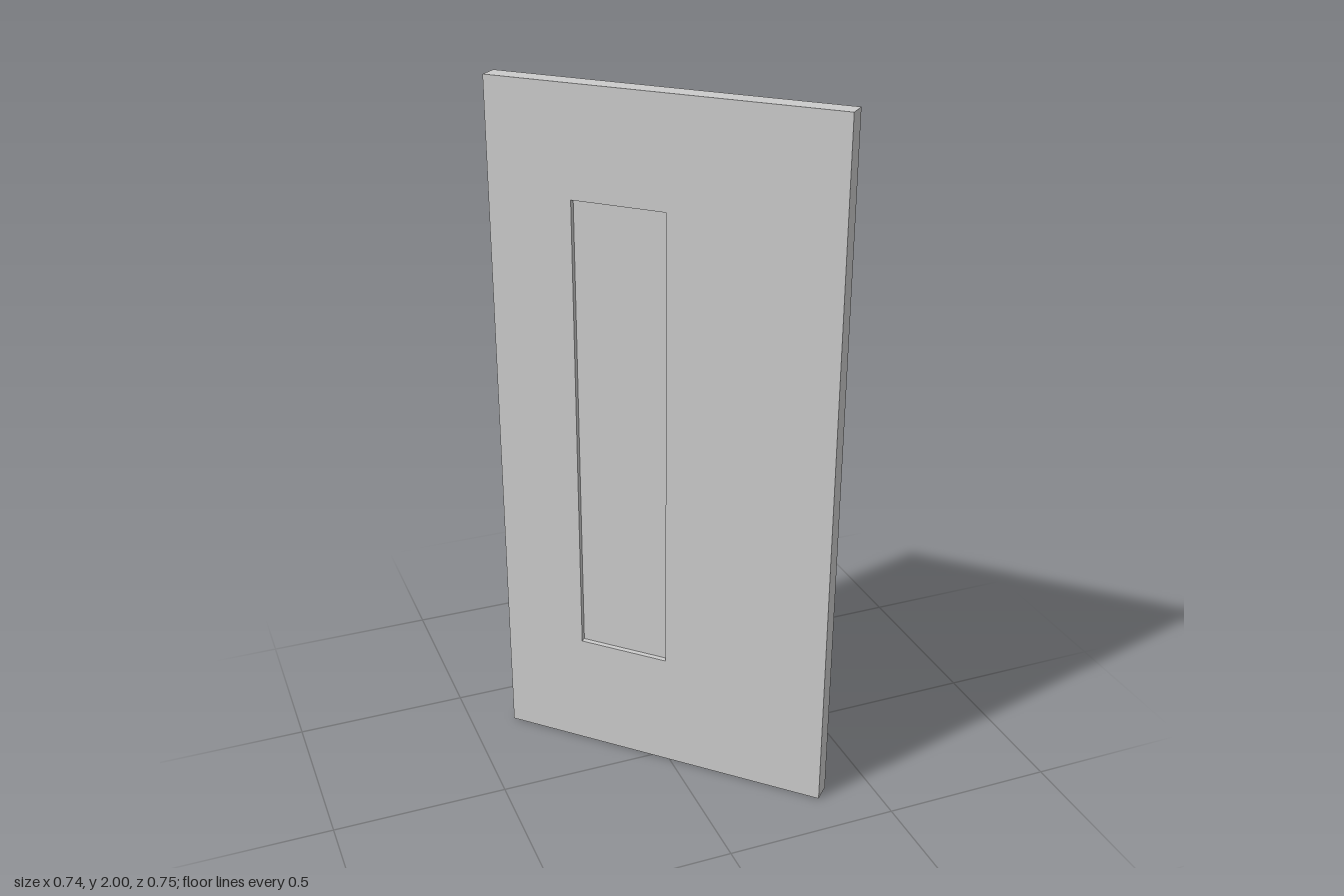
import * as THREE from 'three';

export function createModel() {
  const doorGrey = new THREE.MeshStandardMaterial({ color: 0xcccccc });
  doorGrey.name = 'doorGrey';
  const metal = new THREE.MeshStandardMaterial({ color: 0xdde1de, flatShading: true });
  metal.name = 'paleMetal';

  const model = new THREE.Group();
  model.name = 'door';
  const T = 0.057; // door thickness

  const add = (name, geometry, material, x = 0, y = 0, z = 0) => {
    const mesh = new THREE.Mesh(geometry, material);
    mesh.name = name;
    mesh.position.set(x, y, z);
    model.add(mesh);
    return mesh;
  };

  // Slab with a tall opening, filled by a thinner panel
  const [x0, x1, y0, y1] = [-0.254, 0.016, 0.345, 1.695];
  const slab = new THREE.Shape([[-0.498, 0], [0.498, 0], [0.498, 2], [-0.498, 2]]
    .map(p => new THREE.Vector2(...p)));
  slab.holes.push(new THREE.Path([[x0, y0], [x0, y1], [x1, y1], [x1, y0]]
    .map(p => new THREE.Vector2(...p))));
  add('doorSlab', new THREE.ExtrudeGeometry(slab, { depth: T, bevelEnabled: false }),
    doorGrey, 0, 0, -T / 2);
  add('recessedPanel', new THREE.BoxGeometry(x1 - x0, y1 - y0, T - 0.03),
    doorGrey, (x0 + x1) / 2, (y0 + y1) / 2, 0);

  // Pull handle: bracket profile (distance outward, height), extruded across its width
  const pull = new THREE.Shape([
    [0.028, 1.118], [0.074, 1.118], [0.097, 1.092], [0.097, 1.017], [0.074, 0.991],
    [0.028, 0.991], [0.028, 1.01], [0.065, 1.01], [0.081, 1.026], [0.081, 1.083],
    [0.065, 1.099], [0.028, 1.099],
  ].map(p => new THREE.Vector2(...p)));
  const pullGeometry = new THREE.ExtrudeGeometry(pull, { depth: 0.026, bevelEnabled: false });
  pullGeometry.translate(0, 0, -0.013).rotateY(Math.PI / 2); // outward becomes -z
  add('pullHandle', pullGeometry, metal, -0.381, 0, 0);

  // Sliding bolt under the handle
  add('boltBar', new THREE.CylinderGeometry(0.0078, 0.0078, 0.22, 8).rotateZ(Math.PI / 2),
    metal, -0.376, 0.946, -0.0385);

  // Guides holding the bolt
  for (const side of [-1, 1]) {
    const x = -0.376 + side * 0.058;
    add('boltGuide', new THREE.BoxGeometry(0.006, 0.02, 0.028), metal, x, 0.946, -0.042);
  }

  // Thumb tab hanging from the bolt
  add('tabCollar', new THREE.BoxGeometry(0.032, 0.018, 0.018), metal, -0.376, 0.942, -0.0405);
  add('tabStem', new THREE.CylinderGeometry(0.007, 0.006, 0.045, 8), metal, -0.376, 0.918, -0.044);
  add('tabKnob', new THREE.CylinderGeometry(0.009, 0.008, 0.016, 8), metal, -0.376, 0.895, -0.044);

  // The door stands diagonally
  model.rotation.y = -Math.PI / 4;
  const root = new THREE.Group();
  root.name = 'model';
  root.add(model);
  return root;
}
